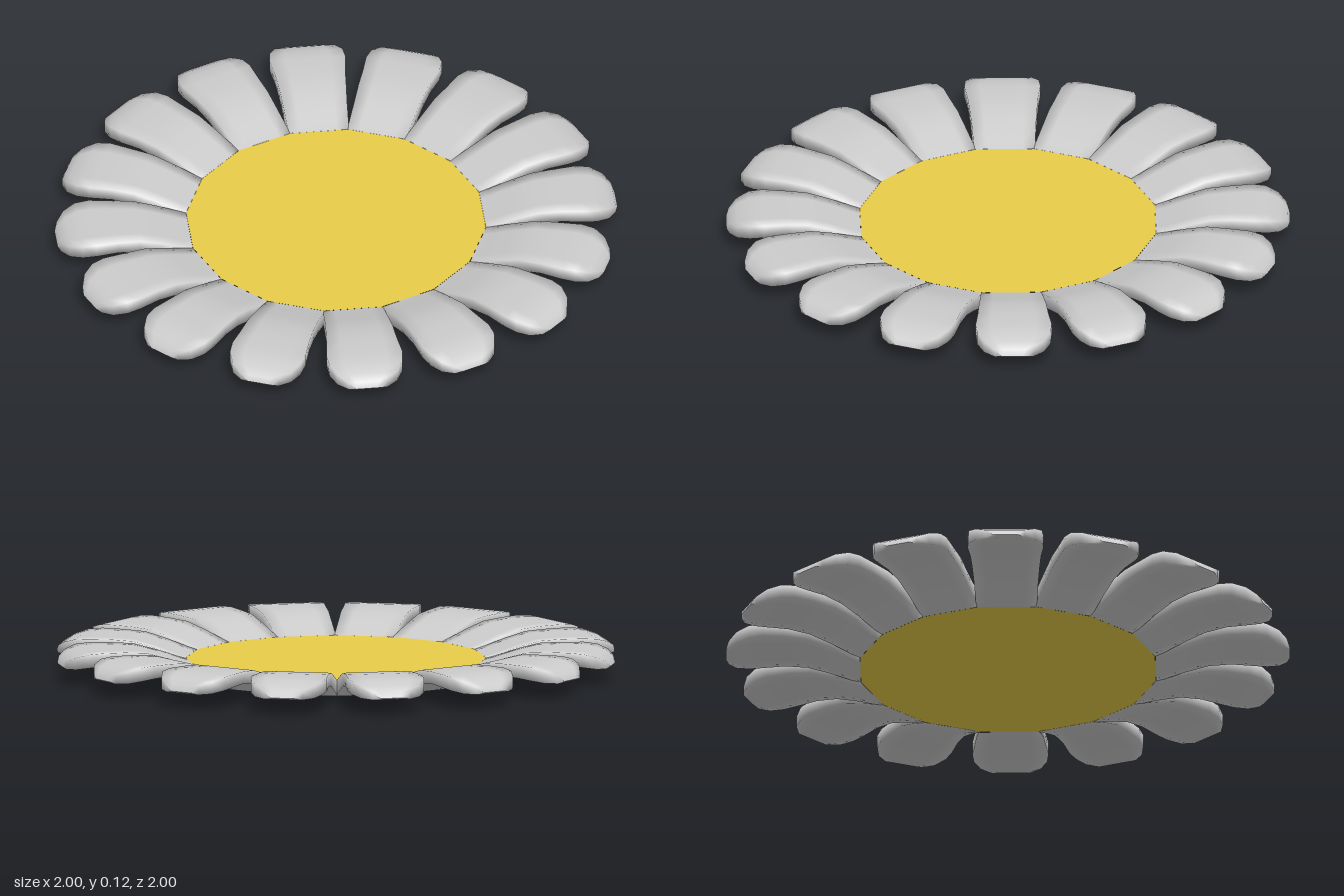
import * as THREE from 'three';

const THICKNESS = 0.056;

// Petal stations: distance from centre, half width, underside height, top height
const STATIONS = [
  [0.53, 0.1054, 0, THICKNESS],
  [0.56, 0.111, 0.01, 0.064],
  [0.64, 0.115, 0.04, 0.092],
  [0.72, 0.121, 0.066, 0.114],
  [0.8, 0.127, 0.075, 0.119],
  [0.88, 0.137, 0.073, 0.12],
  [0.93, 0.132, 0.067, 0.116],
  [0.975, 0.108, 0.059, 0.102],
  [1.003, 0.07, 0.056, 0.084],
  [1.013, 0.045, 0.062, 0.062],
];
// Slab cross-section: share of half width, share of thickness
const SECTION = [[-1, 0], [-1, 1], [-0.6, 1], [0, 1], [0.6, 1],
  [1, 1], [1, 0], [0.6, 0], [0, 0], [-0.6, 0]];

// One thick petal pointing along +z, closed at the tip
function petalGeometry() {
  const positions = [], index = [], n = SECTION.length;
  for (const [z, w, bottom, top] of STATIONS) {
    for (const [s, t] of SECTION) positions.push(s * w, bottom + t * (top - bottom), z);
  }
  for (let i = 0; i < STATIONS.length - 1; i++) {
    for (let j = 0; j < n; j++) {
      const a = i * n + j, c = i * n + (j + 1) % n;
      index.push(a, a + n, c, a + n, c + n, c);
    }
  }
  const geometry = new THREE.BufferGeometry();
  geometry.setAttribute('position', new THREE.Float32BufferAttribute(positions, 3));
  geometry.setIndex(index);
  geometry.computeVertexNormals();
  return geometry;
}

export function createModel() {
  const model = new THREE.Group();
  model.name = 'flower';

  // Flat sixteen-sided centre, upper and lower face
  const yellow = new THREE.MeshStandardMaterial({ color: 0xe8cc48 });
  for (const [name, y, tilt] of [['centreTop', THICKNESS, -1], ['centreBottom', 0, 1]]) {
    const disc = new THREE.Mesh(new THREE.CircleGeometry(0.54, 16), yellow);
    disc.name = name;
    disc.rotation.x = tilt * Math.PI / 2;
    disc.position.y = y;
    model.add(disc);
  }

  // Ring of petals, one on each side of the centre
  const petals = new THREE.Group();
  petals.name = 'petals';
  const geometry = petalGeometry();
  const material = new THREE.MeshStandardMaterial({ color: 0xcccccc, side: THREE.DoubleSide });
  for (let i = 0; i < 16; i++) {
    const petal = new THREE.Mesh(geometry, material);
    petal.name = `petal${i + 1}`;
    petal.rotation.y = (i + 0.5) * Math.PI / 8;
    petals.add(petal);
  }
  model.add(petals);
  return model;
}
